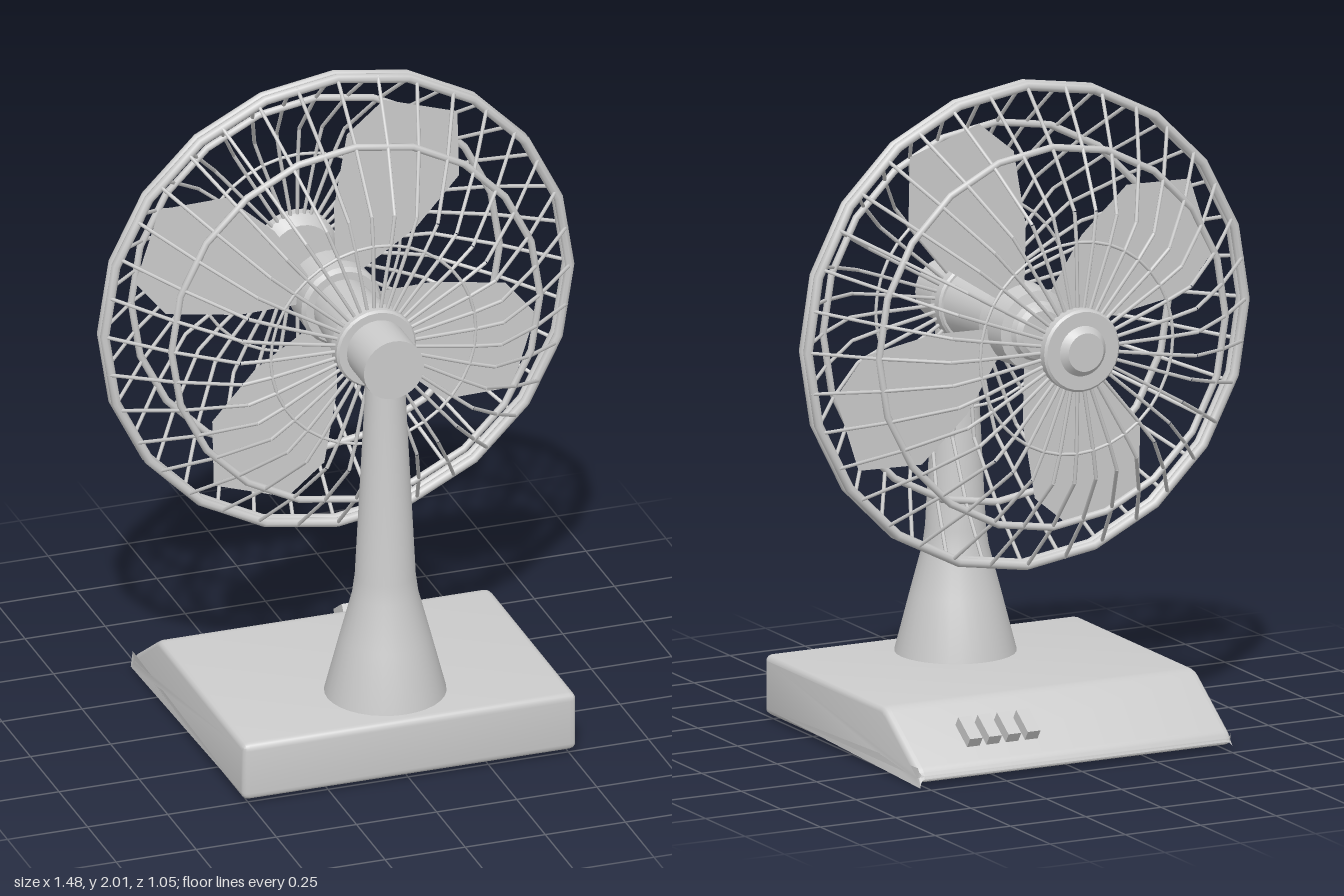
import * as THREE from 'three';
import { mergeGeometries, toCreasedNormals } from 'three/addons/utils/BufferGeometryUtils.js';

const HEAD_Y = 1.26;   // height of the fan axis
const MID_Z = -0.135;  // plane of the rim and blades
const STEM_Z = 0.3;

const material = new THREE.MeshStandardMaterial({ color: 0xcccccc });
const thinMaterial = new THREE.MeshStandardMaterial({ color: 0xcccccc, side: THREE.DoubleSide });

function add(parent, name, geometry, mat = material) {
  const mesh = new THREE.Mesh(geometry, mat);
  mesh.name = name;
  parent.add(mesh);
  return mesh;
}

// Turned part; points are [radius, height], bottom to top
function turned(points, sides = 28) {
  const profile = points.map(([r, h]) => new THREE.Vector2(r, h));
  return toCreasedNormals(new THREE.LatheGeometry(profile, sides), 0.5);
}

// Turned part lying along z; points are [radius, z], back to front
const turnedZ = (points, sides) => turned(points, sides).rotateX(Math.PI / 2);

// Thin straight wire between two points
function wire(a, b, radius) {
  const dir = b.clone().sub(a);
  const g = new THREE.CylinderGeometry(radius, radius, dir.length(), 6, 1, true);
  g.applyQuaternion(new THREE.Quaternion().setFromUnitVectors(new THREE.Vector3(0, 1, 0), dir.normalize()));
  const mid = a.clone().add(b).multiplyScalar(0.5);
  return g.translate(mid.x, mid.y, mid.z);
}

// Closed shape with every corner rounded
function roundedShape(corners, radius) {
  const pts = corners.map(([x, y]) => new THREE.Vector2(x, y));
  const shape = new THREE.Shape();
  pts.forEach((p, i) => {
    const prev = pts[(i + pts.length - 1) % pts.length];
    const next = pts[(i + 1) % pts.length];
    const a = prev.clone().sub(p).setLength(radius).add(p);
    const b = next.clone().sub(p).setLength(radius).add(p);
    if (i === 0) shape.moveTo(a.x, a.y);
    else shape.lineTo(a.x, a.y);
    shape.quadraticCurveTo(p.x, p.y, b.x, b.y);
  });
  shape.closePath();
  return shape;
}

function makeBase() {
  const base = new THREE.Group();
  base.name = 'base';

  // Side profile with a sloping control panel, swept across x
  const profile = roundedShape([[-0.465, 0], [0.52, 0], [0.52, 0.182], [-0.235, 0.182], [-0.455, 0.032]], 0.022);
  const body = new THREE.ExtrudeGeometry(profile, {
    depth: 1.0, curveSegments: 4, bevelEnabled: true,
    bevelThickness: 0.02, bevelSize: 0.018, bevelOffset: -0.018, bevelSegments: 3,
  });
  body.translate(0, 0, -0.5).rotateY(-Math.PI / 2);
  add(base, 'baseBody', toCreasedNormals(body, 0.6));

  // Row of push buttons on the slope
  const slope = Math.atan2(0.15, 0.22);
  for (let i = 0; i < 4; i++) {
    const button = add(base, 'button', new THREE.BoxGeometry(0.042, 0.05, 0.09));
    button.position.set(0.112 + i * 0.064, 0.107, -0.36);
    button.rotation.x = -slope;
  }

  // Flared stem
  const stem = turned([[0, 0.17], [0.182, 0.17], [0.18, 0.185], [0.135, 0.36], [0.098, 0.5],
    [0.09, 0.56], [0.06, 1.15], [0.057, 1.21], [0, 1.21]], 32);
  add(base, 'stem', stem).position.z = STEM_Z;
  return base;
}

function makeCage() {
  const cage = new THREE.Group();
  cage.name = 'cage';
  // Half profile of the guard: [radius, distance from the mid plane]
  const profile = [[0.726, 0.016], [0.575, 0.177], [0.41, 0.318], [0.32, 0.33], [0.1, 0.337]];
  const rings = [
    ['rimRing', 0.7255, 0.014, 0.0145, 20],
    ['middleRing', 0.575, 0.177, 0.011, 20],
    ['innerRing', 0.32, 0.33, 0.005, 36],
  ];
  for (const side of [1, -1]) {
    for (const [name, radius, offset, tube, sides] of rings) {
      add(cage, name, new THREE.TorusGeometry(radius, tube, 8, sides)).position.z = MID_Z + side * offset;
    }
    const wires = [];
    for (let i = 0; i < 36; i++) {
      const t = (i / 36) * Math.PI * 2;
      const pts = profile.map(([r, d]) =>
        new THREE.Vector3(Math.cos(t) * r, Math.sin(t) * r, MID_Z + side * d));
      for (let k = 1; k < pts.length; k++) wires.push(wire(pts[k - 1], pts[k], 0.0058));
    }
    add(cage, side > 0 ? 'frontSpokes' : 'backSpokes', mergeGeometries(wires));
  }
  return cage;
}

function makeBlades() {
  const blades = new THREE.Group();
  blades.name = 'blades';
  const outline = [[0.0, 0.08], [-0.005, 0.3], [0.035, 0.53], [0.15, 0.625], [0.38, 0.55],
    [0.385, 0.34], [0.25, 0.19], [0.08, 0.08]];
  const shape = new THREE.Shape(outline.map(([x, y]) => new THREE.Vector2(x, y)));
  for (let i = 0; i < 4; i++) {
    const blade = add(blades, 'blade', new THREE.ShapeGeometry(shape), thinMaterial);
    blade.position.z = MID_Z;
    blade.rotation.z = i * Math.PI / 2;
  }
  add(blades, 'bladeHub', turnedZ([[0, -0.25], [0.066, -0.25], [0.082, -0.24], [0.09, -0.222],
    [0.12, -0.215], [0.125, -0.085], [0.115, -0.07], [0, -0.07]]));
  return blades;
}

export function createModel() {
  const model = new THREE.Group();
  model.name = 'deskFan';
  model.add(makeBase());

  const head = new THREE.Group();
  head.name = 'head';
  head.position.y = HEAD_Y;
  model.add(head);
  head.add(makeCage(), makeBlades());

  // Motor housing, its mounting collar and the neck above the stem
  add(head, 'motor', turnedZ([[0, -0.08], [0.09, -0.08], [0.112, 0.175], [0, 0.175]]));
  add(head, 'collar', turnedZ([[0, 0.165], [0.118, 0.165], [0.124, 0.172], [0.124, 0.22], [0.118, 0.228], [0, 0.228]]));
  add(head, 'neck', turnedZ([[0, 0.2], [0.094, 0.2], [0.094, 0.376], [0, 0.376]]));

  // Cap closing the far side of the guard
  add(head, 'guardCap', turnedZ([[0, -0.526], [0.058, -0.526], [0.076, -0.505], [0.118, -0.505],
    [0.125, -0.498], [0.125, -0.47], [0.118, -0.46], [0.1, -0.436], [0, -0.436]]));
  return model;
}
